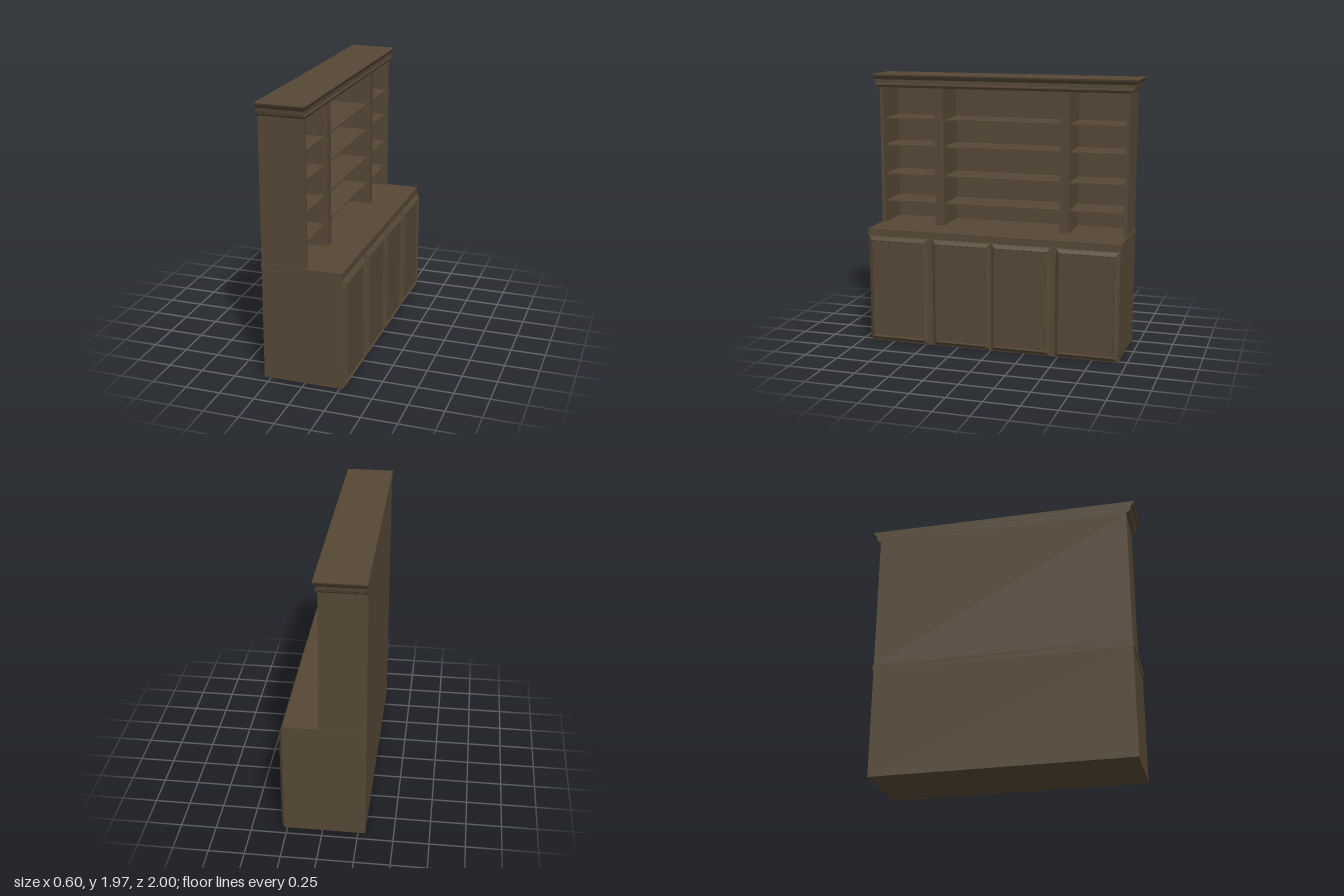
import * as THREE from 'three';

// Joins four-cornered rings (counter-clockwise seen from the end they grow towards), optionally closing the ends.
function loft(rings, capStart, capEnd) {
  const p = [];
  const quad = (a, b, c, d) => [a, b, c, a, c, d].forEach(v => p.push(...v));
  for (let i = 0; i < rings.length - 1; i++) {
    for (let k = 0; k < 4; k++) {
      const n = (k + 1) % 4;
      quad(rings[i][k], rings[i][n], rings[i + 1][n], rings[i + 1][k]);
    }
  }
  if (capStart) quad(...[...rings[0]].reverse());
  if (capEnd) quad(...rings[rings.length - 1]);
  const g = new THREE.BufferGeometry();
  g.setAttribute('position', new THREE.Float32BufferAttribute(p, 3));
  g.computeVertexNormals();
  return g;
}

export function createModel() {
  const model = new THREE.Group();
  model.name = 'cabinet';
  const wood = new THREE.MeshStandardMaterial({ color: 0x554735 });
  wood.name = 'darkWood';

  const add = (name, geometry) => {
    const m = new THREE.Mesh(geometry, wood);
    m.name = name;
    model.add(m);
    return m;
  };
  const box = (name, x0, x1, y0, y1, z0, z1) =>
    add(name, new THREE.BoxGeometry(x1 - x0, y1 - y0, z1 - z0))
      .position.set((x0 + x1) / 2, (y0 + y1) / 2, (z0 + z1) / 2);

  const back = -0.3, half = 0.938;

  // Lower cupboard and counter
  box('base', back, 0.272, 0, 0.8, -half, half);
  box('counter', back, 0.268, 0.8, 0.85, -0.945, 0.945);

  // Doors: bevelled rim around a slightly sunken panel
  const steps = [[0, 0.272], [0.006, 0.279], [0.028, 0.295], [0.032, 0.295], [0.036, 0.283]];
  const doorSpans = [[0.48, 0.935], [0.005, 0.443], [-0.443, -0.005], [-0.935, -0.48]];
  for (const [z0, z1] of doorSpans) {
    const rings = steps.map(([d, x]) => {
      const y0 = 0.004 + d, y1 = 0.798 - d;
      return [[x, y0, z1 - d], [x, y0, z0 + d], [x, y1, z0 + d], [x, y1, z1 - d]];
    });
    add('door', loft(rings, false, true));
  }

  // Open bookcase
  box('backPanel', back, -0.28, 0.85, 1.87, -half, half);
  for (const s of [-1, 1]) {
    const span = (a, b) => (s > 0 ? [a, b] : [-b, -a]);
    box('sidePanel', -0.28, 0.02, 0.85, 1.87, ...span(0.912, half));
    box('divider', -0.28, 0.02, 0.85, 1.87, ...span(0.44, 0.51));
  }
  for (const y of [1.012, 1.217, 1.437, 1.637]) {
    for (const [z0, z1] of [[-0.912, -0.51], [-0.44, 0.44], [0.51, 0.912]]) {
      box('shelf', -0.28, 0, y - 0.005, y + 0.005, z0, z1);
    }
  }

  // Crown moulding, flush at the back: [front x, half width, y]
  const profile = [
    [0.02, 0.938, 1.87], [0.031, 0.962, 1.887], [0.031, 0.965, 1.897],
    [0.024, 0.968, 1.9], [0.024, 0.973, 1.928], [0.042, 0.995, 1.953], [0.046, 1, 1.965],
  ];
  const crown = profile.map(([x, w, y]) => [[back, y, w], [x, y, w], [x, y, -w], [back, y, -w]]);
  add('crown', loft(crown, true, true));

  return model;
}
